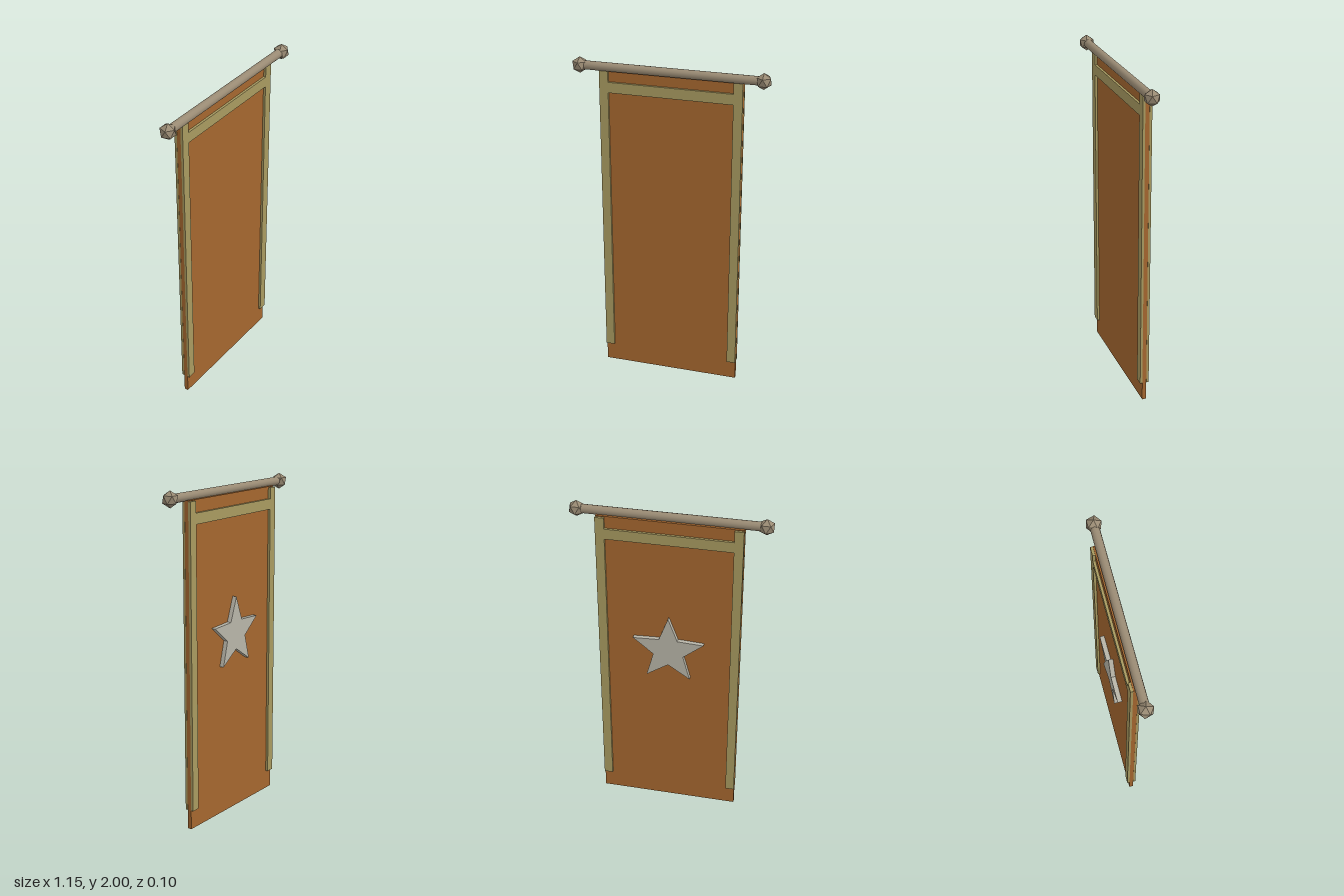
import * as THREE from 'three';

const material = (color) => new THREE.MeshStandardMaterial({ color, flatShading: true });

export function createModel() {
  const banner = new THREE.Group();
  banner.name = 'hangingBanner';
  const clothMat = material(0xa5672f);
  const trimMat = material(0xa89a60);
  const rodMat = material(0x9a8b74);
  const rodSmooth = new THREE.MeshStandardMaterial({ color: 0x9a8b74 });
  const starMat = material(0xb8b5a8);

  const add = (name, geometry, mat, x, y, z) => {
    const mesh = new THREE.Mesh(geometry, mat);
    mesh.name = name;
    mesh.position.set(x, y, z);
    banner.add(mesh);
    return mesh;
  };
  // Box given by its limits on each axis
  const addBox = (name, mat, [x0, x1], [y0, y1], [z0, z1]) =>
    add(name, new THREE.BoxGeometry(x1 - x0, y1 - y0, z1 - z0), mat,
      (x0 + x1) / 2, (y0 + y1) / 2, (z0 + z1) / 2);

  // Cloth panel
  addBox('cloth', clothMat, [-0.42, 0.42], [0, 1.935], [-0.027, -0.002]);

  // Raised trim on both faces: two side strips and a cross strip
  for (const [face, depth] of [['front', [-0.002, 0.012]], ['back', [-0.042, -0.027]]]) {
    addBox(face + 'LeftTrim', trimMat, [0.368, 0.421], [0.117, 1.93], depth);
    addBox(face + 'RightTrim', trimMat, [-0.421, -0.368], [0.117, 1.93], depth);
    addBox(face + 'CrossTrim', trimMat, [-0.368, 0.368], [1.8, 1.863], depth);
  }

  // Hanging rod
  const rodY = 1.953, rodZ = 0.0065;
  const rod = new THREE.CylinderGeometry(0.026, 0.026, 1.06, 12).rotateZ(Math.PI / 2);
  add('rod', rod, rodSmooth, 0, rodY, rodZ);

  // Faceted finials, each with a vertex pointing straight up
  const tilt = Math.atan((1 + Math.sqrt(5)) / 2);
  for (const [side, s] of [['left', 1], ['right', -1]]) {
    const ball = new THREE.IcosahedronGeometry(0.048, 0).rotateX(-tilt);
    add(side + 'Finial', ball, rodMat, s * 0.536, rodY - 0.001, rodZ);
  }

  // Five-pointed star on the back
  const points = [];
  for (let i = 0; i < 10; i++) {
    const r = i % 2 ? 0.094 : 0.222;
    const a = Math.PI / 2 + (i * Math.PI) / 5;
    points.push(new THREE.Vector2(r * Math.cos(a), r * Math.sin(a)));
  }
  const star = new THREE.ExtrudeGeometry(new THREE.Shape(points), { depth: 0.028, bevelEnabled: false });
  add('star', star, starMat, 0, 1.108, -0.054);

  return banner;
}
